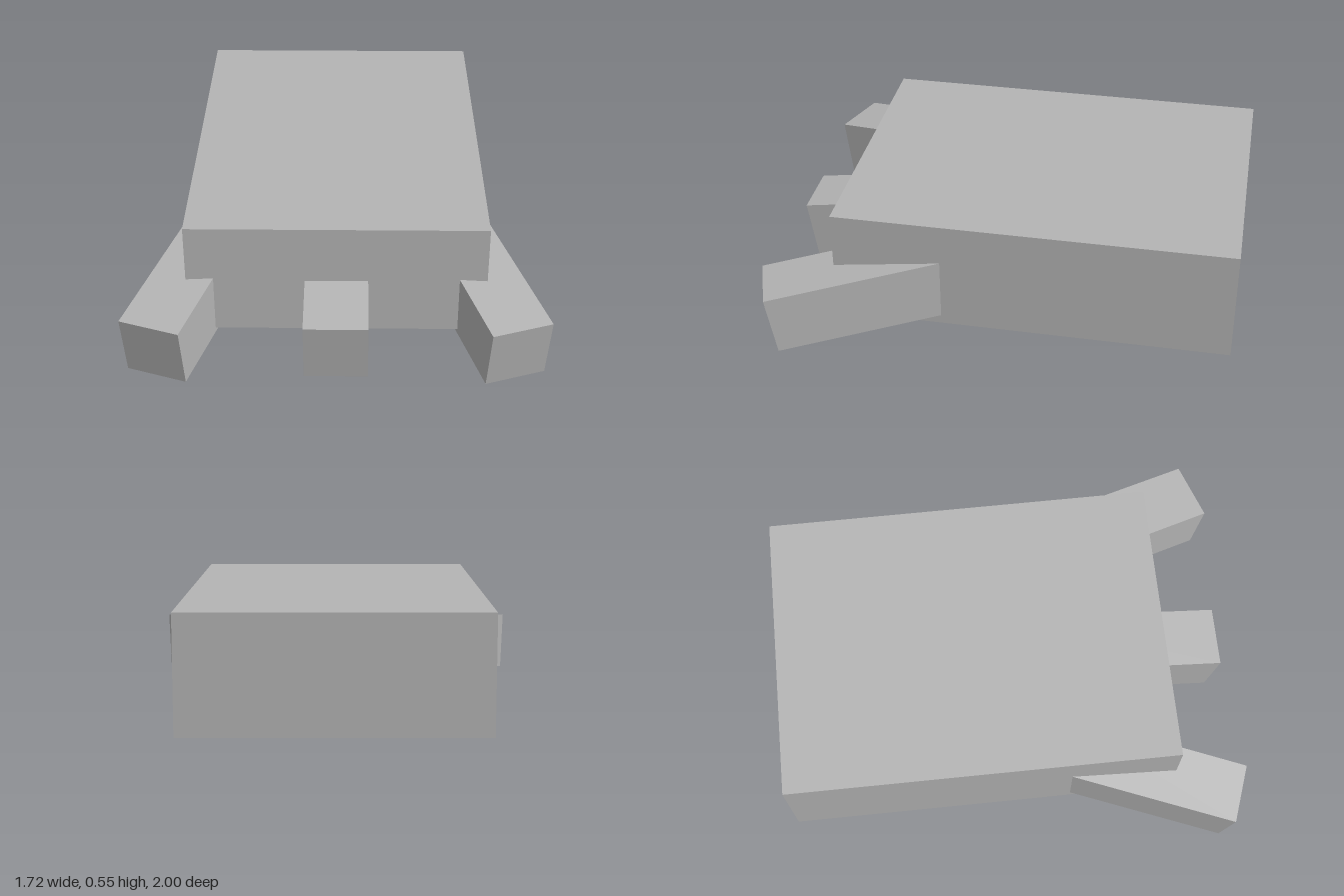
import * as THREE from 'three';

export function createModel() {
  const model = new THREE.Group();
  const grey = new THREE.MeshStandardMaterial({ color: 0xb4b4b4 });
  grey.name = 'plain grey';

  // main slab
  const body = new THREE.Mesh(new THREE.BoxGeometry(1.234, 0.485, 1.68), grey);
  body.name = 'body';
  body.position.set(0, 0.3075, -0.16);
  model.add(body);

  // toes: the origin is the middle of the top front edge, the rear is sunk in the body
  const length = 0.9, height = 0.265, width = 0.26;
  const toeGeometry = new THREE.BoxGeometry(width, height, length);
  toeGeometry.translate(0, -height / 2, -length / 2);

  function addToe(name, x, z, yaw) {
    const toe = new THREE.Mesh(toeGeometry, grey);
    toe.name = name;
    toe.position.set(x, 0.262, z);
    toe.rotation.set(0.15, yaw, 0, 'YXZ');
    model.add(toe);
  }

  addToe('middleToe', 0, 0.957, 0);
  addToe('leftToe', 0.739, 0.954, 0.341);
  addToe('rightToe', -0.739, 0.954, -0.341);

  return model;
}
